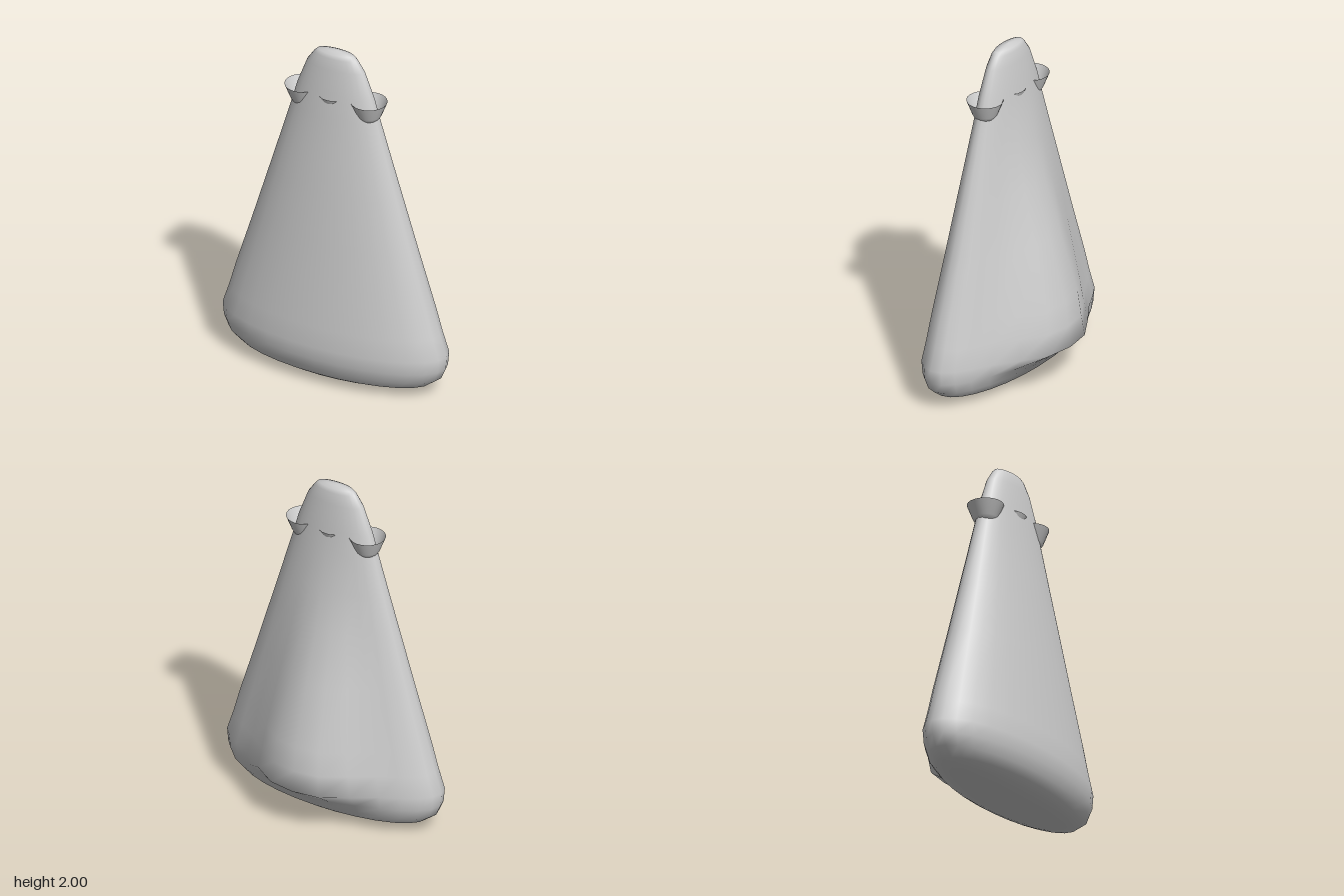
import * as THREE from 'three';

const CENTER_Z = 0.085;
const SIDES = 28;

// Body cross-sections: [height, half width, half depth, bulge of the back]
const SECTIONS = [
  [0.005, 0.001, 0.001, 0], [0.012, 0.22, 0.09, 0], [0.022, 0.37, 0.14, 0], [0.04, 0.48, 0.175, 0],
  [0.065, 0.59, 0.21, 0], [0.115, 0.655, 0.24, 0.01], [0.18, 0.683, 0.258, 0.055],
  [0.26, 0.69, 0.265, 0.167], [0.38, 0.65, 0.25, 0.165], [0.52, 0.61, 0.235, 0.163],
  [0.87, 0.5, 0.192, 0.097], [1.18, 0.405, 0.155, 0.037], [1.4, 0.338, 0.127, 0.015],
  [1.62, 0.272, 0.1, 0], [1.75, 0.235, 0.086, 0], [1.9, 0.177, 0.065, 0],
  [1.965, 0.132, 0.052, 0], [1.985, 0.112, 0.04, 0], [1.995, 0.06, 0.02, 0], [2.0, 0.001, 0.001, 0],
];

// Elliptical loft; the back half is pushed out around the middle
function bodyGeometry() {
  const positions = [];
  const index = [];
  SECTIONS.forEach(([y, rx, rz, bulge], row) => {
    for (let i = 0; i < SIDES; i++) {
      const a = (i / SIDES) * Math.PI * 2;
      const x = rx * Math.sin(a);
      let z = CENTER_Z + rz * Math.cos(a);
      if (Math.cos(a) < -0.01) z -= bulge * Math.exp(-Math.pow(Math.abs(x) / (rx * 0.48), 3));
      positions.push(x, y, z);
      if (row < SECTIONS.length - 1) {
        const p = row * SIDES + i;
        const q = row * SIDES + ((i + 1) % SIDES);
        index.push(p, q, q + SIDES, p, q + SIDES, p + SIDES);
      }
    }
  });
  const geometry = new THREE.BufferGeometry();
  geometry.setAttribute('position', new THREE.Float32BufferAttribute(positions, 3));
  geometry.setIndex(index);
  geometry.computeVertexNormals();
  return geometry;
}

export function createModel() {
  const model = new THREE.Group();
  model.name = 'model';

  const body = new THREE.Mesh(bodyGeometry(), new THREE.MeshStandardMaterial({ color: 0xcccccc }));
  body.name = 'body';
  model.add(body);

  // Open cups set into the body near the top
  const cupProfile = [
    [0, 1.612], [0.035, 1.614], [0.055, 1.625], [0.07, 1.65], [0.102, 1.732],
  ].map(([r, y]) => new THREE.Vector2(r, y));
  const cupGeometry = new THREE.LatheGeometry(cupProfile, 24);
  const cupMaterial = new THREE.MeshStandardMaterial({ color: 0xcccccc, side: THREE.DoubleSide });
  for (const [name, x] of [['leftCup', 0.205], ['middleCup', 0], ['rightCup', -0.205]]) {
    const cup = new THREE.Mesh(cupGeometry, cupMaterial);
    cup.name = name;
    cup.position.set(x, 0, CENTER_Z);
    model.add(cup);
  }
  return model;
}
